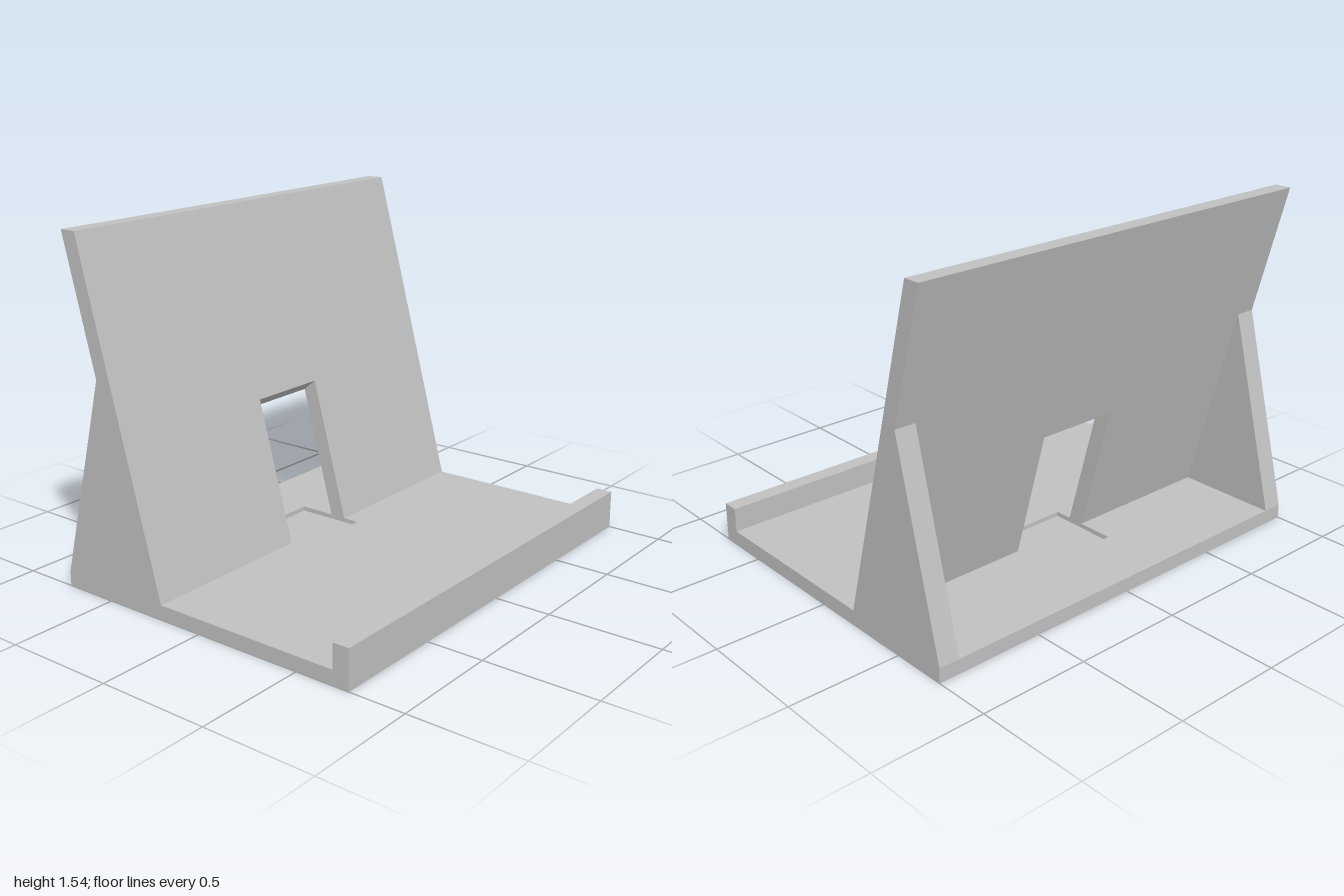
import * as THREE from 'three';

export function createModel() {
  const group = new THREE.Group();
  const grey = new THREE.MeshStandardMaterial({ color: 0xc0c0c0 });
  grey.name = 'plain grey';

  // Extrudes a side profile of [z, y] points from x0 to x1
  function slab(name, profile, x0, x1) {
    const shape = new THREE.Shape(profile.map(([z, y]) => new THREE.Vector2(z, y)));
    const geometry = new THREE.ExtrudeGeometry(shape, { depth: x1 - x0, bevelEnabled: false });
    geometry.rotateY(-Math.PI / 2);
    geometry.translate(x1, 0, 0);
    const mesh = new THREE.Mesh(geometry, grey);
    mesh.name = name;
    group.add(mesh);
  }

  const floor = 0.065, top = 1.537, lean = 0.269;
  const half = 0.19; // half width of the cable opening
  const frontZ = (y) => -0.207 - lean * (y - floor);
  const backZ = (y) => frontZ(y) - 0.075;
  const apex = 0.95;

  // Sides of the base with the lip, the leaning panel and the rear ribs
  const baseProfile = [[-0.75, 0], [0.75, 0], [0.75, 0.175], [0.675, 0.175], [0.675, floor], [-0.75, floor]];
  const panelProfile = [[frontZ(floor), floor], [frontZ(top), top], [backZ(top), top], [backZ(floor), floor]];
  const ribProfile = [[backZ(floor), floor], [backZ(apex), apex], [-0.75, floor]];
  for (const [side, s] of [['left', 1], ['right', -1]]) {
    const part = (name, profile, a, b) =>
      slab(side + name, profile, Math.min(s * a, s * b), Math.max(s * a, s * b));
    part('Base', baseProfile, half, 1);
    part('Panel', panelProfile, half, 1);
    part('Rib', ribProfile, 0.905, 1);
  }

  // Middle of the base, with a shallow recess below the opening
  slab('middleBase', [
    [-0.75, 0], [0.75, 0], [0.75, 0.175], [0.675, 0.175], [0.675, floor],
    [-0.13, floor], [-0.13, 0.045], [-0.45, 0.045], [-0.45, floor], [-0.75, floor],
  ], -half, half);

  // Panel above the opening, with a ceiling that slopes down to the rear
  slab('middlePanel', [
    [frontZ(0.703), 0.703], [frontZ(top), top], [backZ(top), top], [backZ(0.652), 0.652],
  ], -half, half);

  return group;
}
